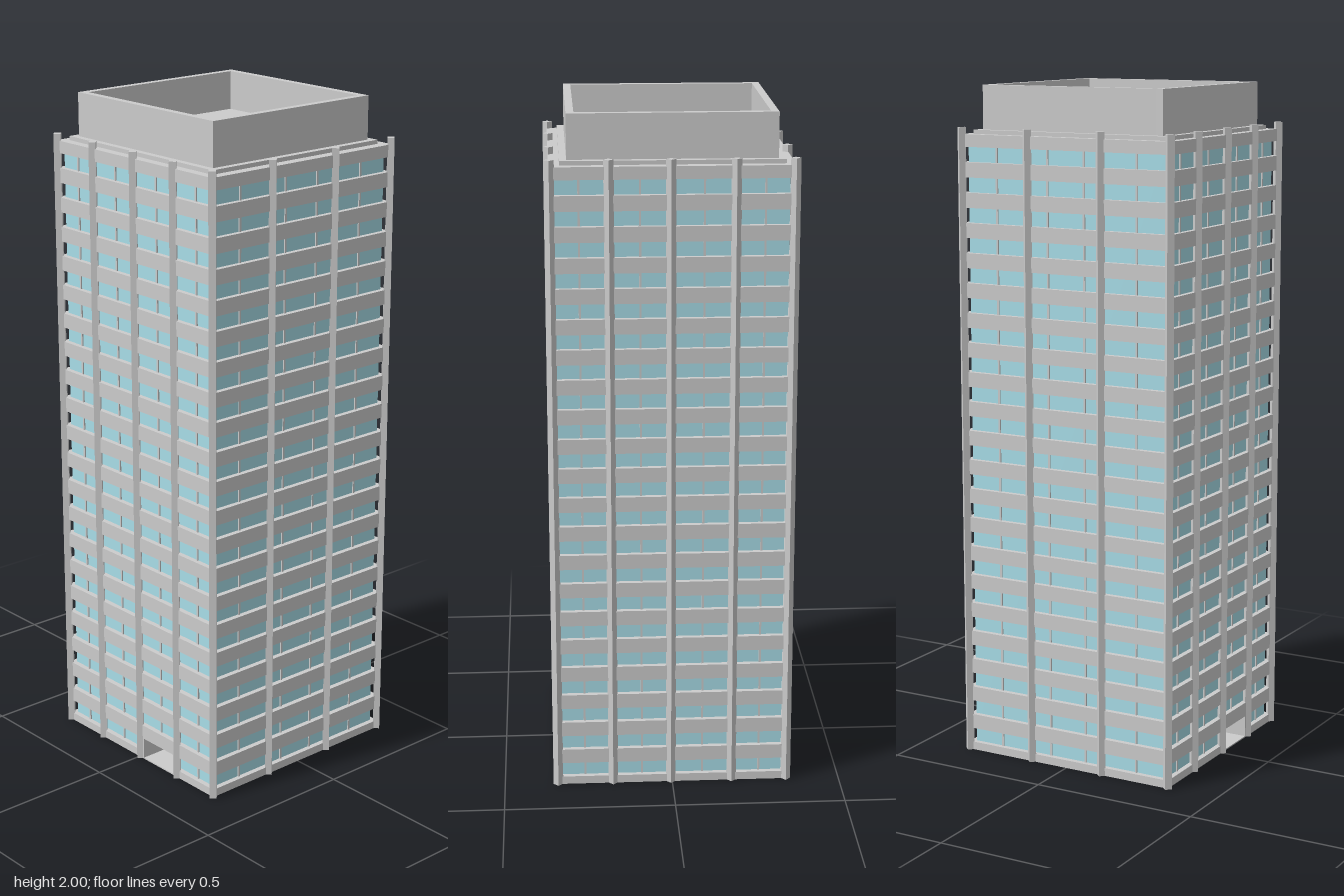
import * as THREE from 'three';

const FLOORS = 21, PITCH = 0.0878, SILL = 0.024, HEAD = 0.068, ROOF = 1.86;
const OUT = 0.343, GLASS = 0.327; // half widths of spandrels and glazing
const DOOR_L = 0.018, DOOR_R = 0.163, DEPTH = 0.1; // entrance recess

const grey = new THREE.MeshStandardMaterial({ color: 0xcccccc, flatShading: true });
const blue = new THREE.MeshStandardMaterial({ color: 0xa8dde8, flatShading: true });

function add(group, name, geometry, material = grey) {
  const mesh = new THREE.Mesh(geometry, material);
  mesh.name = name;
  group.add(mesh);
  return mesh;
}

// Box given by its size in x and z, bottom and top heights, and centre
function block(group, name, w, d, y0, y1, x = 0, z = 0, material = grey) {
  const mesh = add(group, name, new THREE.BoxGeometry(w, y1 - y0, d), material);
  mesh.position.set(x, (y0 + y1) / 2, z);
  return mesh;
}

// Square plan with the entrance recess cut into its front edge
function notchedLayer(group, name, half, y0, y1, material) {
  const back = -(OUT - DEPTH);
  const plan = new THREE.Shape([
    [-half, -half], [DOOR_L, -half], [DOOR_L, back], [DOOR_R, back],
    [DOOR_R, -half], [half, -half], [half, half], [-half, half],
  ].map(([x, y]) => new THREE.Vector2(x, y)));
  const geometry = new THREE.ExtrudeGeometry(plan, { depth: y1 - y0, bevelEnabled: false });
  geometry.rotateX(-Math.PI / 2);
  add(group, name, geometry, material).position.y = y0;
}

export function createModel() {
  const tower = new THREE.Group();
  tower.name = 'officeTower';

  // Ground floor with recessed entrance
  const ground = new THREE.Group();
  ground.name = 'groundFloor';
  tower.add(ground);
  block(ground, 'floorSlab', OUT * 2, OUT * 2, 0, 0.004);
  notchedLayer(ground, 'basePlinth', OUT, 0.004, SILL, grey);
  notchedLayer(ground, 'groundGlazing', GLASS, SILL, HEAD, blue);
  const backZ = OUT - DEPTH;
  const mid = (DOOR_L + DOOR_R) / 2;
  block(ground, 'entranceBackWall', DOOR_R - DOOR_L, 0.004, 0.004, HEAD, mid, backZ + 0.002);
  for (const x of [DOOR_L, DOOR_R])
    block(ground, 'entranceSideWall', 0.008, DEPTH, 0.004, HEAD, x, OUT - DEPTH / 2);
  block(ground, 'entranceDoor', 0.035, 0.004, 0.004, 0.06, 0.063, backZ + 0.005);

  // Glazing core above the ground floor
  block(tower, 'glazing', GLASS * 2, GLASS * 2, HEAD, ROOF - 0.01, 0, 0, blue);

  // Projecting spandrel bands, one per storey
  const spandrels = new THREE.Group();
  spandrels.name = 'spandrels';
  tower.add(spandrels);
  for (let i = 0; i < FLOORS; i++) {
    const y0 = HEAD + i * PITCH;
    const y1 = i === FLOORS - 1 ? ROOF : y0 + PITCH - (HEAD - SILL);
    block(spandrels, 'spandrel', OUT * 2, OUT * 2, y0, y1);
  }

  // Slim mullions in front of the glass
  const mullions = new THREE.Group();
  mullions.name = 'mullions';
  tower.add(mullions);
  for (const side of [-1, 1]) {
    for (const x of [-0.26, -0.09, 0.09, 0.26]) {
      const bottom = side > 0 && x === 0.09 ? HEAD : 0.01;
      block(mullions, 'mullion', 0.006, 0.008, bottom, ROOF - 0.01, x, side * GLASS);
    }
    for (const z of [-0.23, -0.06, 0.06, 0.23])
      block(mullions, 'mullion', 0.008, 0.006, 0.01, ROOF - 0.01, side * GLASS, z);
  }

  // Diamond-section columns around the perimeter
  const columns = new THREE.Group();
  columns.name = 'columns';
  tower.add(columns);
  const columnGeometry = new THREE.CylinderGeometry(0.0145, 0.0145, 1.88, 4);
  const column = (x, z) => add(columns, 'column', columnGeometry).position.set(x, 0.94, z);
  for (const side of [-0.341, 0.341]) {
    for (const x of [-0.341, -0.177, 0.004, 0.177, 0.341]) column(x, side);
    for (const z of [-0.12, 0.12]) column(side, z);
  }

  // Stepped roof and open crown
  block(tower, 'roofStep', 0.63, 0.63, ROOF, 1.872, -0.003);
  const crown = new THREE.Group();
  crown.name = 'crown';
  crown.position.x = -0.003;
  tower.add(crown);
  block(crown, 'crownFloor', 0.56, 0.56, 1.872, 1.885);
  const rim = 0.295, wall = 0.022;
  for (const s of [-1, 1]) {
    block(crown, 'crownWall', rim * 2, wall, 1.87, 2, 0, s * (rim - wall / 2));
    block(crown, 'crownWall', wall, (rim - wall) * 2, 1.87, 2, s * (rim - wall / 2), 0);
  }
  return tower;
}
